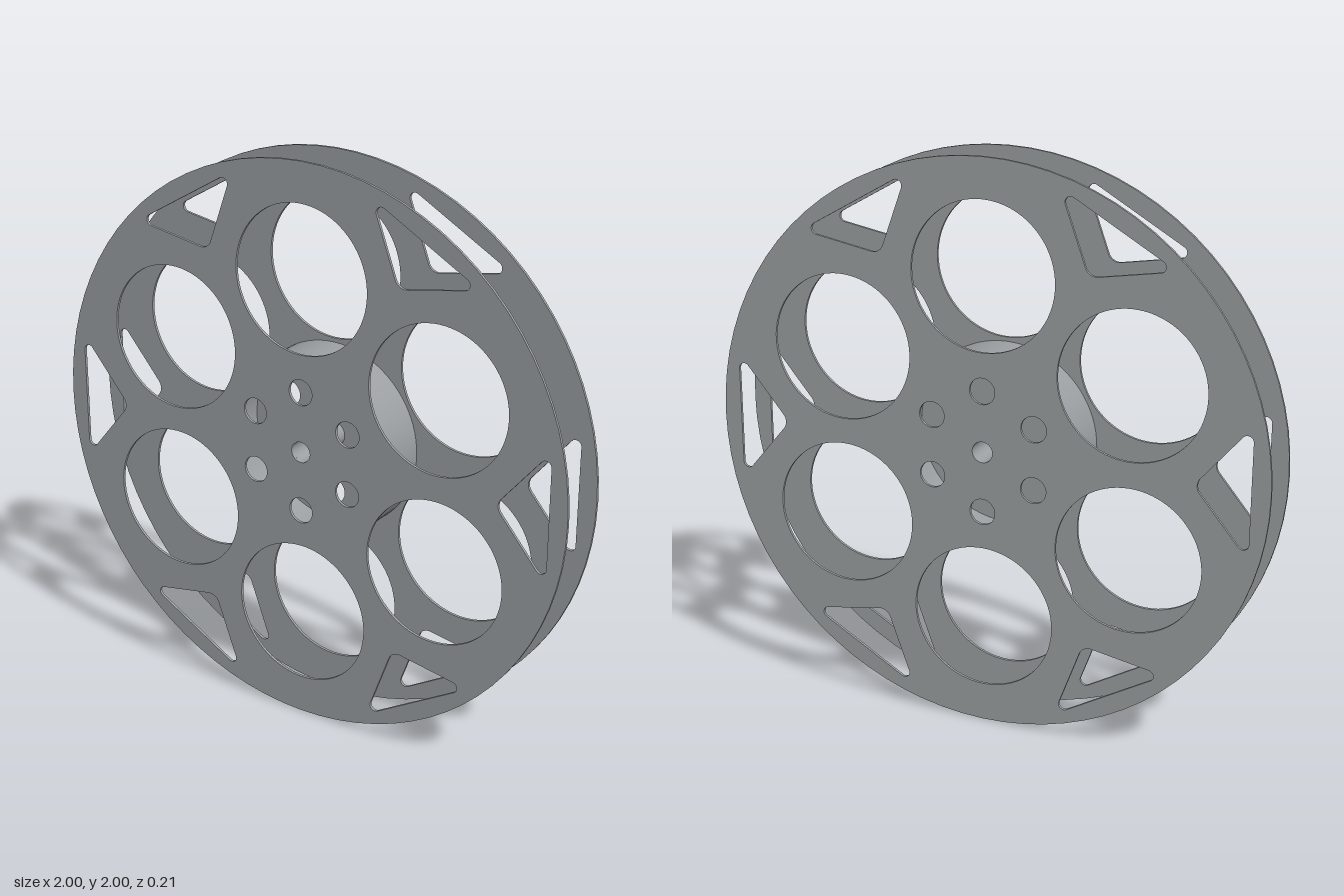
import * as THREE from 'three';

const steel = new THREE.MeshStandardMaterial({ color: 0x9b9fa1 });
steel.name = 'steel grey';

const RAD = Math.PI / 180;
const PLATE = 0.01; // flange thickness
const GAP = 0.1; // flange centre distance from the middle

function circle(x, y, r) {
  const p = new THREE.Path();
  p.absarc(x, y, r, 0, Math.PI * 2, false);
  return p;
}

// Rounded triangular window pointing at the hub, turned by a degrees
function triangleWindow(a) {
  const apex = 0.743, outer = 0.935, tipR = 0.02, apexR = 0.04;
  const tipX = outer - tipR;
  const tipY = (outer - apex) * Math.tan(50 * RAD) - tipR / Math.tan(20 * RAD);
  const c = Math.cos(a * RAD), s = Math.sin(a * RAD);
  const p = new THREE.Path();
  const corner = (x, y, r, from, to) =>
    p.absarc(x * c - y * s, x * s + y * c, r, (from + a) * RAD, (to + a) * RAD, false);
  corner(tipX, tipY, tipR, 0, 140);
  corner(apex + apexR / Math.sin(50 * RAD), 0, apexR, 140, 220);
  corner(tipX, -tipY, tipR, 220, 360);
  p.closePath();
  return p;
}

// Flange disc with all its cut-outs
function flangeGeometry() {
  const disc = new THREE.Shape();
  disc.absarc(0, 0, 1, 0, Math.PI * 2, false);
  disc.holes.push(circle(0, 0, 0.037));
  for (let i = 0; i < 6; i++) {
    const a = 30 + i * 60;
    const x = Math.cos(a * RAD), y = Math.sin(a * RAD);
    disc.holes.push(circle(x * 0.605, y * 0.605, 0.257));
    disc.holes.push(circle(x * 0.215, y * 0.215, 0.046));
    disc.holes.push(triangleWindow(i * 60));
  }
  const geo = new THREE.ExtrudeGeometry(disc, { depth: PLATE, bevelEnabled: false, curveSegments: 40 });
  return geo.translate(0, 0, -PLATE / 2);
}

// Hollow tube along z: outer and inner walls
function tube(name, outerR, innerR, segments) {
  const group = new THREE.Group();
  group.name = name;
  const length = 2 * GAP - PLATE;
  [['OuterWall', outerR], ['InnerWall', innerR]].forEach(([part, r], i) => {
    const geo = new THREE.CylinderGeometry(r, r, length, segments, 1, true);
    geo.rotateX(Math.PI / 2);
    if (i === 1) {
      // turn the inner wall to face the axis
      geo.scale(-1, 1, 1);
      const n = geo.attributes.normal;
      for (let k = 0; k < n.count; k++) n.setXYZ(k, -n.getX(k), -n.getY(k), -n.getZ(k));
    }
    const mesh = new THREE.Mesh(geo, steel);
    mesh.name = name + part;
    group.add(mesh);
  });
  return group;
}

export function createModel() {
  const model = new THREE.Group();
  model.name = 'filmReel';

  const reel = new THREE.Group();
  reel.name = 'reel';
  reel.position.y = 1;
  model.add(reel);

  const geo = flangeGeometry();
  for (const [name, z] of [['frontFlange', GAP], ['backFlange', -GAP]]) {
    const flange = new THREE.Mesh(geo, steel);
    flange.name = name;
    flange.position.z = z;
    reel.add(flange);
  }

  reel.add(tube('hub', 0.333, 0.325, 80));
  reel.add(tube('spindleTube', 0.045, 0.037, 40));
  return model;
}
